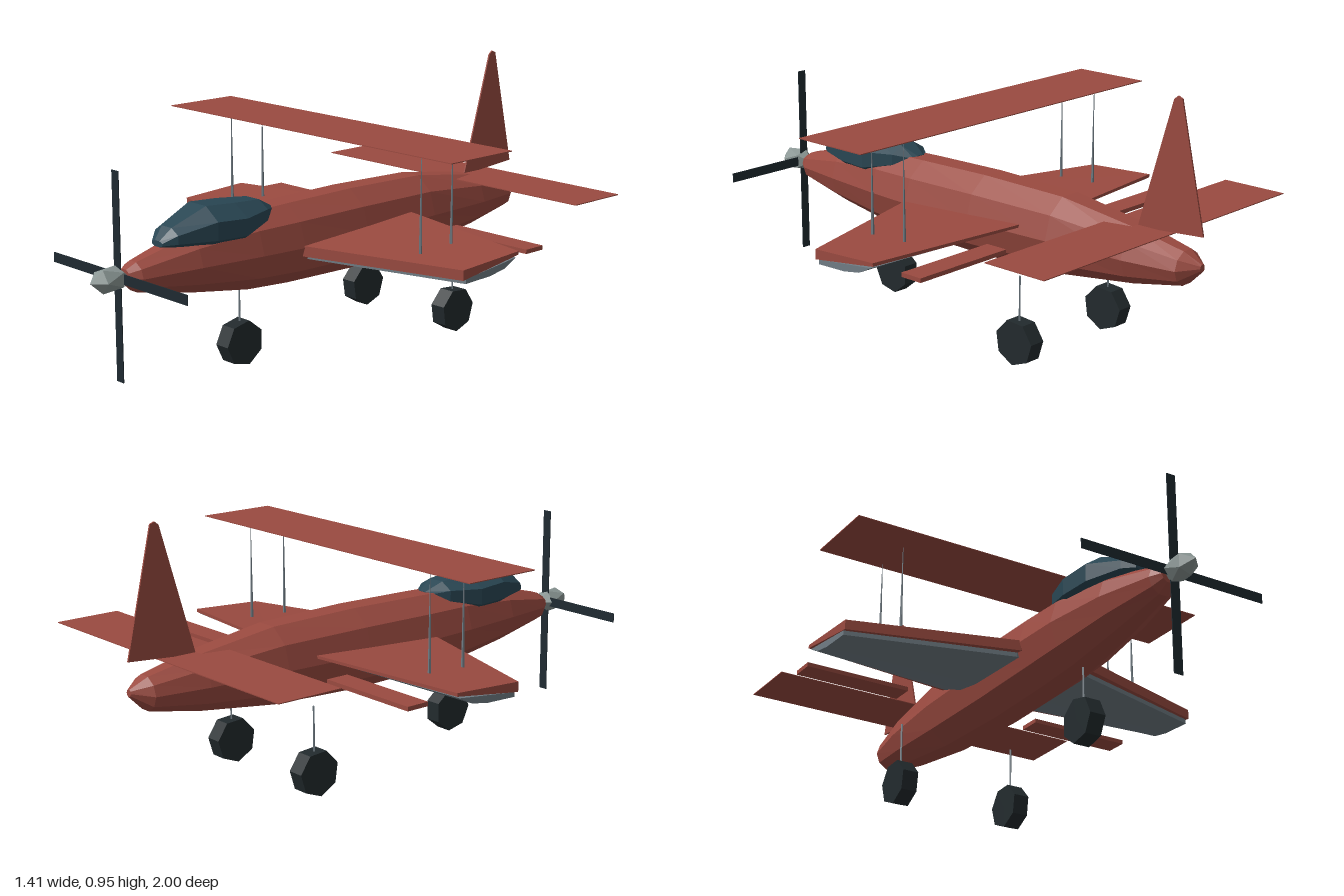
import * as THREE from 'three';

const mat = (color) => new THREE.MeshStandardMaterial({ color, flatShading: true, side: THREE.DoubleSide });

// Flat-shaded skin over a row of equal-sized rings, with fan caps on both ends
function loft(rings) {
  const pos = [];
  const n = rings[0].length;
  const tri = (...pts) => pts.forEach((p) => pos.push(...p));
  for (let r = 0; r < rings.length - 1; r++) {
    const a = rings[r], b = rings[r + 1];
    for (let i = 0; i < n; i++) {
      const j = (i + 1) % n;
      tri(a[i], a[j], b[j]);
      tri(a[i], b[j], b[i]);
    }
  }
  const last = rings[rings.length - 1];
  for (let i = 1; i < n - 1; i++) {
    tri(rings[0][0], rings[0][i + 1], rings[0][i]);
    tri(last[0], last[i], last[i + 1]);
  }
  const g = new THREE.BufferGeometry();
  g.setAttribute('position', new THREE.Float32BufferAttribute(pos, 3));
  g.computeVertexNormals();
  return g;
}

// Oval body from stations [z, half width, bottom, top]
function body(stations, sides) {
  return loft(stations.map(([z, w, lo, hi]) =>
    Array.from({ length: sides }, (_, i) => {
      const t = ((i + 0.5) / sides) * Math.PI * 2 + Math.PI / 2;
      const k = 1 / Math.cos(Math.PI / sides);
      return [Math.cos(t) * w, (lo + hi) / 2 + Math.sin(t) * k * (hi - lo) / 2, z];
    })));
}

// Tapered wing through the body from root and tip profiles of [z, y]
function wing(root, tip, rootX, tipX) {
  return loft([[-tipX, tip], [-rootX, root], [rootX, root], [tipX, tip]]
    .map(([x, prof]) => prof.map(([z, y]) => [x, y, z])));
}

export function createModel() {
  const model = new THREE.Group();
  const red = mat(0x9a4a40), glass = mat(0x294653), dark = mat(0x222a2d);
  const blade = mat(0x1f2a31), silver = mat(0x8b9795), grey = mat(0x707c84);

  const add = (name, geometry, material, x = 0, y = 0, z = 0) => {
    const m = new THREE.Mesh(geometry, material);
    m.name = name;
    m.position.set(x, y, z);
    model.add(m);
    return m;
  };
  const box = (w, h, d) => new THREE.BoxGeometry(w, h, d);

  // Fuselage and canopy
  add('fuselage', body([
    [-1.0, 0.012, 0.395, 0.42], [-0.94, 0.065, 0.34, 0.455], [-0.75, 0.1, 0.305, 0.495],
    [-0.45, 0.125, 0.268, 0.538], [-0.1, 0.135, 0.255, 0.545], [0.2, 0.135, 0.26, 0.54],
    [0.38, 0.128, 0.27, 0.535], [0.62, 0.1, 0.305, 0.5], [0.83, 0.055, 0.345, 0.445],
    [0.865, 0.03, 0.375, 0.425],
  ], 10), red);
  add('canopy', body([
    [0.255, 0.035, 0.515, 0.54], [0.32, 0.085, 0.48, 0.572], [0.44, 0.125, 0.44, 0.582],
    [0.56, 0.115, 0.44, 0.59], [0.69, 0.065, 0.465, 0.535], [0.73, 0.03, 0.475, 0.495],
  ], 8), glass);

  // Spinner and four-bladed propeller
  const spinner = add('spinner', new THREE.IcosahedronGeometry(1, 0), silver, 0, 0.402, 0.925);
  spinner.rotation.z = 0.3;
  spinner.geometry.rotateX(0.55);
  spinner.scale.set(0.046, 0.046, 0.075);
  add('horizontalBlades', box(0.7, 0.034, 0.003), blade, 0, 0.402, 0.89);
  add('verticalBlades', box(0.034, 0.7, 0.003), blade, 0, 0.402, 0.891);

  // Lower wing with a grey belly plate
  add('lowerWing', wing(
    [[-0.33, 0.434], [0.205, 0.407], [0.205, 0.37], [-0.33, 0.424]],
    [[-0.237, 0.42], [0.035, 0.405], [0.035, 0.37], [-0.237, 0.408]], 0.13, 0.705), red);
  add('wingBelly', wing(
    [[0.18, 0.372], [0.18, 0.356], [-0.1, 0.362], [-0.2, 0.377], [-0.31, 0.418]],
    [[0.02, 0.372], [0.02, 0.356], [-0.1, 0.36], [-0.17, 0.372], [-0.225, 0.4]], 0.13, 0.703), grey);

  // Thin upper wing and tailplane
  add('upperWing', box(1.41, 0.003, 0.29), red, 0, 0.766, -0.045);
  add('tailplane', box(1.24, 0.003, 0.24), red, 0, 0.495, -0.76);

  // Tail fin, outlined in z and y
  const outline = [[0.74, 0.49], [0.87, 0.935], [0.885, 0.947], [0.902, 0.94], [1.0, 0.51]];
  const finShape = new THREE.Shape(outline.map(([z, y]) => new THREE.Vector2(z, y)));
  const finGeo = new THREE.ExtrudeGeometry(finShape, { depth: 0.006, bevelEnabled: false });
  finGeo.translate(0, 0, -0.003).rotateY(Math.PI / 2);
  add('tailFin', finGeo, red);

  // Faceted wheel on a thin leg
  const wheel = (name, x, z, legTop, turn) => {
    const g = new THREE.CylinderGeometry(0.08, 0.08, 0.06, 7);
    g.rotateY(turn).rotateZ(Math.PI / 2);
    add(name + 'Wheel', g, dark, x, 0.077, z);
    add(name + 'Leg', new THREE.CylinderGeometry(0.004, 0.004, legTop - 0.12, 4), grey,
      x, (legTop + 0.12) / 2, z);
  };
  wheel('nose', 0, 0.383, 0.28, 0);

  for (const [side, s] of [['left', 1], ['right', -1]]) {
    wheel(side + 'Rear', s * 0.23, -0.435, 0.305, 0.3);
    add(side + 'Aileron', box(0.395, 0.015, 0.085), red, s * 0.467, 0.393, -0.367);
    // Tapered struts between the wings
    for (const [place, z] of [['Front', 0.0], ['Rear', -0.15]]) {
      add(side + place + 'Strut', new THREE.CylinderGeometry(0.001, 0.006, 0.355, 5), grey,
        s * 0.48, 0.5775, z);
    }
  }
  return model;
}
